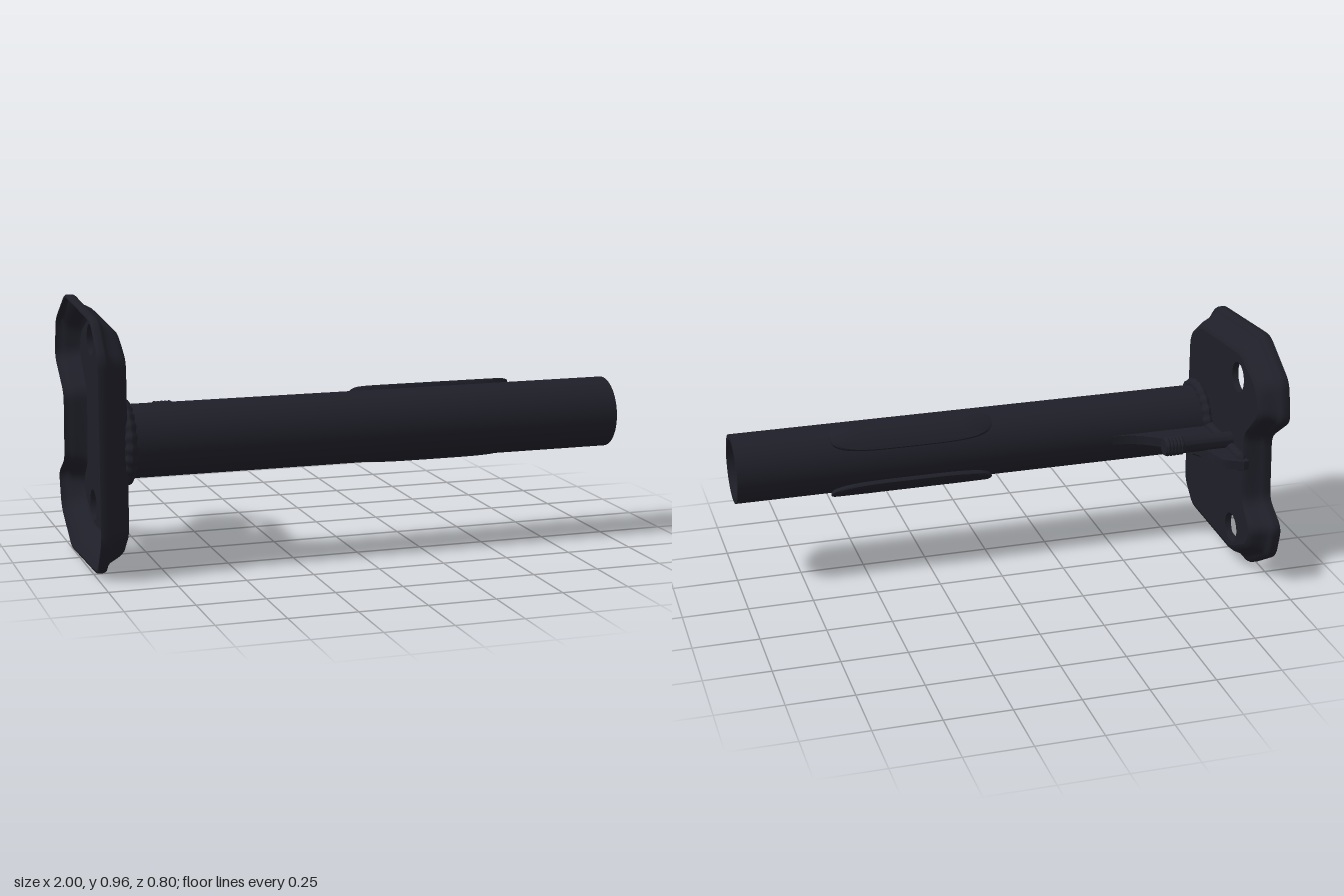
import * as THREE from 'three';
import { toCreasedNormals } from 'three/addons/utils/BufferGeometryUtils.js';

const TUBE = { y: 0.478, z: 0.238, r: 0.133, bore: 0.113 };

// Plate outline seen from the tube side: [across (= -z), y, share of the inset]
const OUTLINE = [
  [-0.4, 0.15, 0.6], [-0.32, 0.015, 1], [0.16, 0, 1], [0.348, 0.115, 0.8],
  [0.382, 0.248, 0.6], [0.262, 0.32, 0.25], [0.247, 0.575, 0.25], [0.407, 0.695, 0.6],
  [0.375, 0.845, 0.8], [0.18, 0.965, 1], [-0.285, 0.93, 1], [-0.4, 0.805, 0.6],
];

// Surface through closed rings of equal length
function loft(rings, crease, capEnd = false) {
  const n = rings[0].length, index = [];
  for (let k = 0; k < rings.length - 1; k++) {
    for (let i = 0; i < n; i++) {
      const a = k * n + i, b = k * n + (i + 1) % n;
      index.push(a, b, b + n, a, b + n, a + n);
    }
  }
  if (capEnd) {
    const s = (rings.length - 1) * n;
    for (let i = 1; i < n - 1; i++) index.push(s, s + i, s + i + 1);
  }
  const g = new THREE.BufferGeometry();
  g.setAttribute('position', new THREE.Float32BufferAttribute(rings.flat(2), 3));
  g.setIndex(index);
  return toCreasedNormals(g, crease);
}

// Outline moved inward, with rounded corners
function insetOutline(inset, round = 0.036) {
  const n = OUTLINE.length;
  const corners = OUTLINE.map(([x, y, share], i) => {
    const p = new THREE.Vector2(x, y);
    const before = new THREE.Vector2(...OUTLINE[(i + n - 1) % n]);
    const after = new THREE.Vector2(...OUTLINE[(i + 1) % n]);
    const d1 = p.clone().sub(before).normalize(), d2 = after.sub(p).normalize();
    const n1 = new THREE.Vector2(-d1.y, d1.x), n2 = new THREE.Vector2(-d2.y, d2.x);
    const miter = n1.clone().add(n2).normalize();
    return p.addScaledVector(miter, inset * share / miter.dot(n1));
  });
  return corners.flatMap((p, i) => {
    const toward = (q) => p.clone().add(q.clone().sub(p).setLength(round));
    return new THREE.QuadraticBezierCurve(
      toward(corners[(i + n - 1) % n]), p, toward(corners[(i + 1) % n])).getPoints(5);
  });
}

// Dished wall of the plate: inside first, then round the thin rim and up the outside
function plateWall() {
  const profile = [
    [0.09, 0.085], [0.068, 0.072], [0.05, 0.045], [0.028, 0.026], [0.012, 0.018], [0.01, 0],
    [0.003, 0], [0, 0.004], [0, 0.026], [0.004, 0.034], [0.018, 0.04],
    [0.03, 0.05], [0.04, 0.07], [0.05, 0.09], [0.062, 0.104], [0.078, 0.11],
  ];
  return loft(profile.map(([inset, z]) => insetOutline(inset).map((p) => [p.x, p.y, z])), 0.95);
}

// Flat face of the plate with its two bolt holes
function plateFace() {
  const shape = new THREE.Shape(insetOutline(0.078));
  for (const y of [0.162, 0.792]) {
    shape.holes.push(new THREE.Path().absarc(0.148, y, 0.058, 0, Math.PI * 2, true));
  }
  return new THREE.ExtrudeGeometry(shape, { depth: 0.025, bevelEnabled: false, curveSegments: 24 })
    .translate(0, 0, 0.085);
}

// Rounded pad wrapped over the back shoulder of the tube
function padGeometry(side) {
  const rings = [[1, 0.125], [1, 0.146], [0.97, 0.15], [0.6, 0.151], [0.3, 0.151], [0.03, 0.151]];
  return loft(rings.map(([scale, r]) => Array.from({ length: 48 }, (_, i) => {
    const t = side * i / 48 * Math.PI * 2;
    const power = (v, e) => Math.sign(v) * Math.abs(v) ** e;
    const x = 0.317 + 0.317 * scale * power(Math.cos(t), 0.5);
    const angle = 0.62 + 0.47 * scale * power(Math.sin(t), 0.7);
    return [x, side * r * Math.cos(angle), -r * Math.sin(angle)];
  })), 0.6, true);
}

// Weld around the tube, its bead rippled about its own centre line
function weldRing() {
  const g = new THREE.TorusGeometry(0.137, 0.021, 10, 132);
  const p = g.attributes.position, v = new THREE.Vector3(), c = new THREE.Vector3();
  for (let i = 0; i < p.count; i++) {
    v.fromBufferAttribute(p, i);
    const a = Math.atan2(v.y, v.x);
    c.set(Math.cos(a), Math.sin(a), 0).multiplyScalar(0.137);
    v.sub(c).multiplyScalar(1 + 0.12 * Math.cos(22 * a)).add(c);
    p.setXYZ(i, v.x, v.y, v.z);
  }
  g.computeVertexNormals();
  return g.rotateY(Math.PI / 2);
}

function weldBead(length, radius) {
  const points = [];
  for (let i = 0; i <= 72; i++) {
    const end = Math.min(1, i / 3, (72 - i) / 3);
    points.push(new THREE.Vector2(
      radius * end * (1 + 0.12 * Math.cos(i * Math.PI / 3)), (i / 72 - 0.5) * length));
  }
  return new THREE.LatheGeometry(points, 12).rotateX(Math.PI / 2);
}

// Turned part lying along x; profile is [radius, x]
function turned(profile, segments) {
  const points = profile.map(([r, x]) => new THREE.Vector2(r, x));
  return toCreasedNormals(new THREE.LatheGeometry(points, segments).rotateZ(-Math.PI / 2), 0.6);
}

// Curved web between tube and plate, drawn in (x, -z) and laid flat
function gussetGeometry() {
  const s = new THREE.Shape();
  s.moveTo(-0.9, 0.27);
  s.lineTo(-0.9, -0.13);
  s.lineTo(-0.5, -0.13);
  s.lineTo(-0.48, -0.103);
  s.bezierCurveTo(-0.58, -0.1, -0.62, -0.06, -0.7, 0.005);
  s.bezierCurveTo(-0.79, 0.08, -0.78, 0.14, -0.805, 0.215);
  s.quadraticCurveTo(-0.81, 0.24, -0.85, 0.255);
  s.lineTo(-0.88, 0.272);
  const g = new THREE.ExtrudeGeometry(s, { depth: 0.036, bevelEnabled: false, curveSegments: 14 });
  return toCreasedNormals(g.rotateX(-Math.PI / 2), 0.6);
}

export function createModel() {
  const model = new THREE.Group();
  const steel = new THREE.MeshStandardMaterial({ color: 0x1f1f29 });
  steel.name = 'dark steel';
  const add = (name, geometry, x = 0, y = 0, z = 0) => {
    const mesh = new THREE.Mesh(geometry, steel);
    mesh.name = name;
    mesh.position.set(x, y, z);
    model.add(mesh);
  };

  // Mounting plate
  add('plateWall', plateWall().rotateY(Math.PI / 2), -1);
  add('plateFace', plateFace().rotateY(Math.PI / 2), -1);

  // Hollow tube with its pads and weld
  const { r, bore } = TUBE;
  add('tube', turned([[bore, 1], [bore, -0.9], [r, -0.9], [r, 1], [bore, 1]], 64),
    0, TUBE.y, TUBE.z);
  add('upperPad', padGeometry(1), 0, TUBE.y, TUBE.z);
  add('lowerPad', padGeometry(-1), 0, TUBE.y, TUBE.z);
  add('tubeWeld', weldRing(), -0.88, TUBE.y, TUBE.z);

  // Gusset and the weld beads along its foot
  add('gusset', gussetGeometry(), 0, 0.458, 0);
  for (const [name, y] of [['upperGussetWeld', 0.495], ['lowerGussetWeld', 0.458]]) {
    add(name, weldBead(0.37, 0.02), -0.885, y, -0.065);
  }

  // Stud with a threaded tip
  const stud = [[0, -0.9], [0.032, -0.9], [0.032, -0.695]];
  for (let i = 0; i < 5; i++) {
    const x = -0.69 + i * 0.014;
    stud.push([0.034, x], [0.037, x + 0.004], [0.037, x + 0.009], [0.034, x + 0.013]);
  }
  stud.push([0.032, -0.616], [0, -0.616]);
  add('stud', turned(stud, 28), 0, 0.517, -0.102);

  return model;
}
